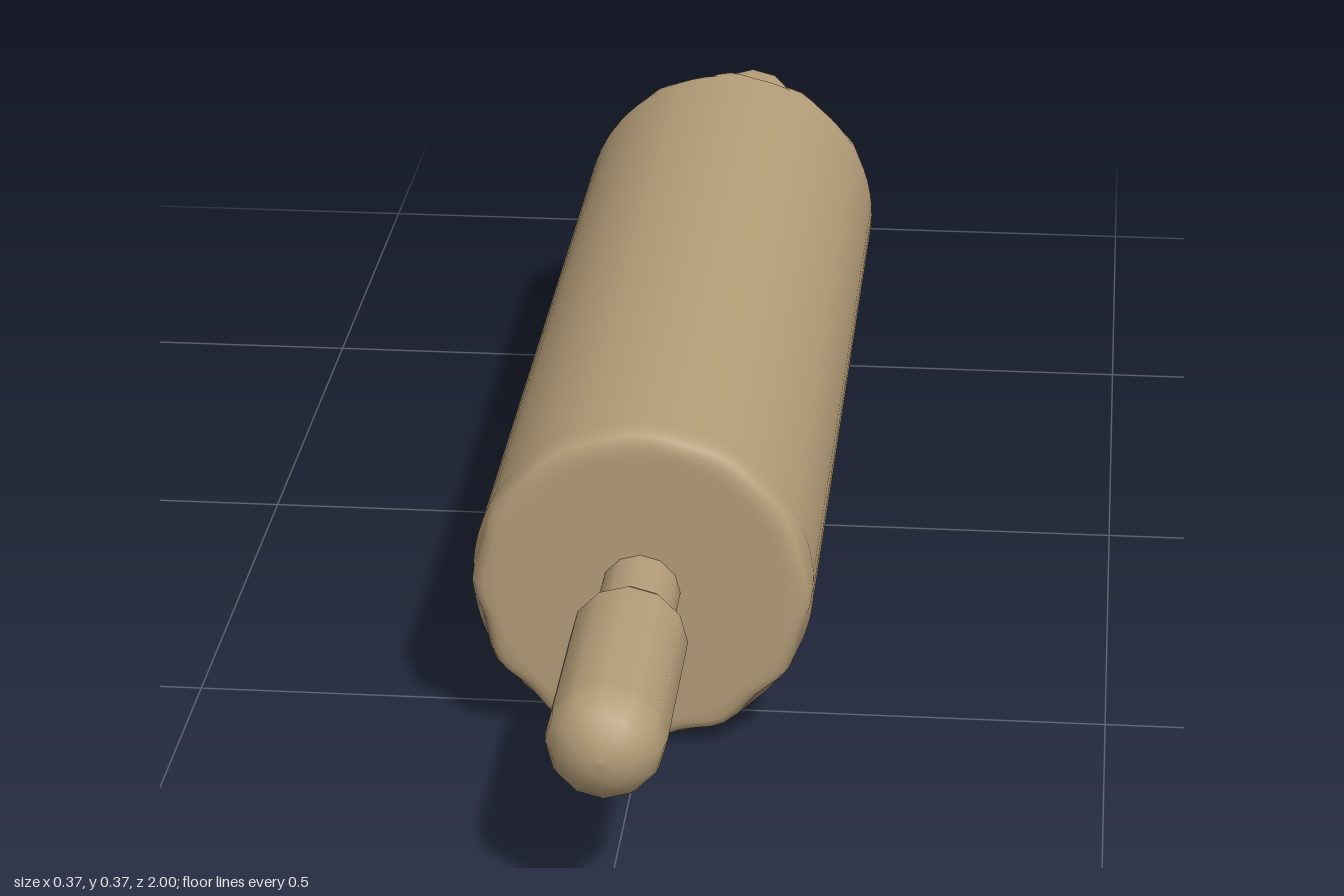
import * as THREE from 'three';

const AXIS_Y = 0.185;

// Lathe around the z axis; repeated profile points give a sharp edge
function turned(name, profile, sides, material) {
  const geometry = new THREE.LatheGeometry(profile.map(([r, z]) => new THREE.Vector2(r, z)), sides);
  geometry.rotateX(Math.PI / 2);
  const mesh = new THREE.Mesh(geometry, material);
  mesh.name = name;
  return mesh;
}

export function createModel() {
  const group = new THREE.Group();
  group.name = 'rollingPin';
  const wood = new THREE.MeshStandardMaterial({ color: 0xb59d78 });
  wood.name = 'wood';

  // Roller with softly rounded ends
  const half = [[0.184, 0.565], [0.183, 0.58], [0.179, 0.59], [0.17, 0.595], [0.155, 0.596], [0, 0.596]];
  const profile = [...half.map(([r, z]) => [r, -z]).reverse(), [0.184, 0], ...half];
  const roller = turned('roller', profile, 72, wood);

  // Slight hand-cut scallops around both rims
  const p = roller.geometry.attributes.position;
  for (let i = 0; i < p.count; i++) {
    const x = p.getX(i), y = p.getY(i), z = p.getZ(i);
    if (Math.abs(z) < 0.57 || Math.hypot(x, y) < 0.16) continue;
    const dip = 0.5 - 0.5 * Math.cos(12 * Math.atan2(y, x));
    const s = 1 - 0.03 * dip;
    p.setXYZ(i, x * s, y * s, z - Math.sign(z) * 0.006 * dip);
  }
  group.add(roller);

  // Handle profile: narrow chamfer, straight grip, domed end
  const grip = [[0, 0.695], [0.053, 0.695], [0.053, 0.695], [0.062, 0.715], [0.062, 0.715]];
  for (let i = 0; i <= 6; i++) {
    const a = (i / 6) * Math.PI / 2;
    grip.push([0.062 * Math.cos(a), 0.938 + 0.062 * Math.sin(a)]);
  }

  // Matching shaft and handle on each end
  for (const [side, turn] of [['front', 0], ['back', Math.PI]]) {
    const end = new THREE.Group();
    end.name = side + 'End';
    end.add(turned(side + 'Shaft', [[0.043, 0.58], [0.043, 0.71]], 12, wood));
    end.add(turned(side + 'Handle', grip, 12, wood));
    end.rotation.y = turn;
    group.add(end);
  }

  group.children.forEach((part) => { part.position.y = AXIS_Y; });
  return group;
}
